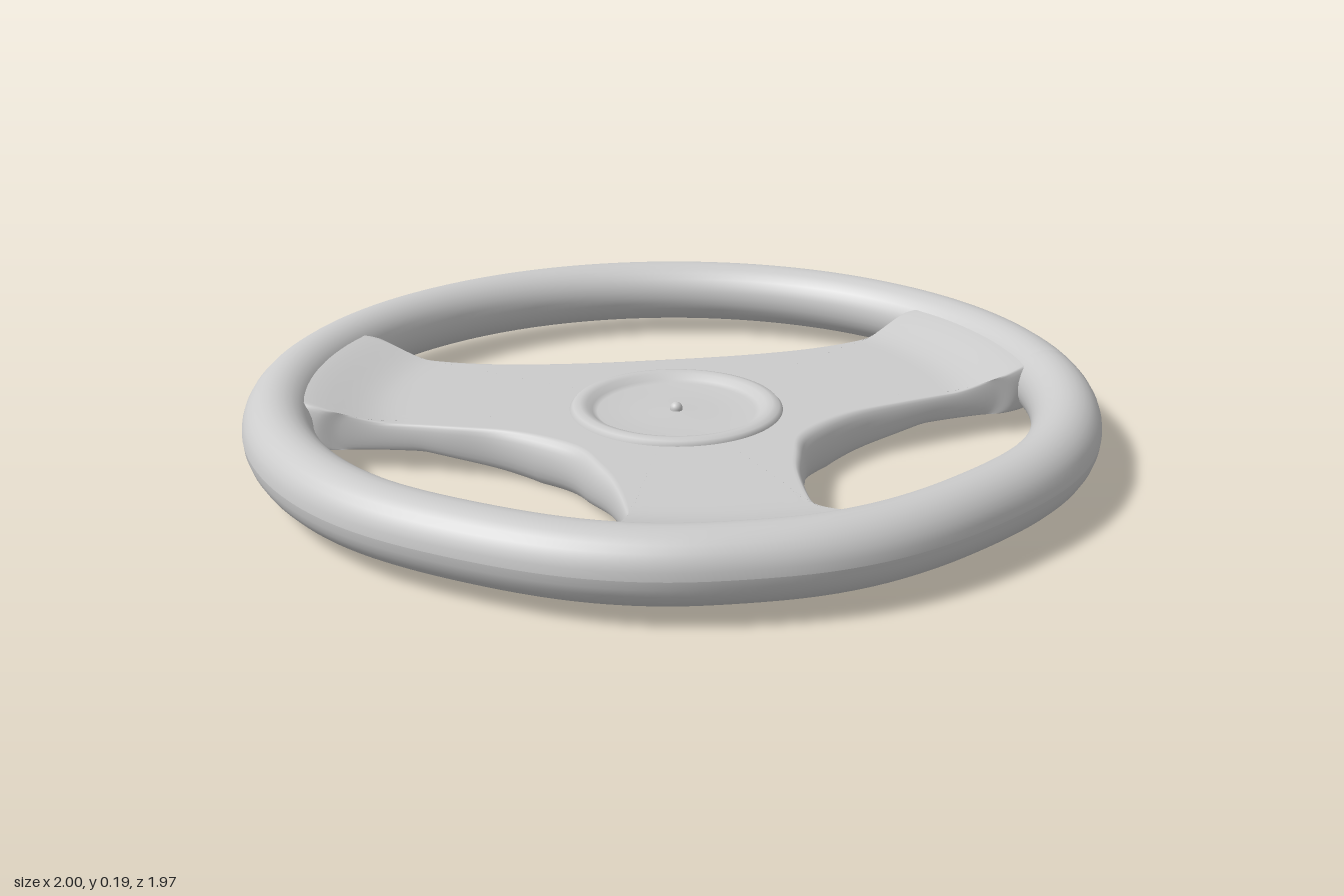
import * as THREE from 'three';

const material = new THREE.MeshStandardMaterial({ color: 0xcccccc, roughness: 0.7 });
const HUB_Z = 0.06;

function part(name, geometry) {
  const mesh = new THREE.Mesh(geometry, material);
  mesh.name = name;
  return mesh;
}

// Round rim, slightly flattened towards the front
function rimGeometry() {
  const geo = new THREE.TorusGeometry(0.92, 0.08, 28, 160).rotateX(Math.PI / 2);
  const p = geo.attributes.position;
  for (let i = 0; i < p.count; i++) {
    const x = p.getX(i), z = p.getZ(i);
    const a = Math.abs(Math.atan2(x, z));
    const r = Math.hypot(x, z);
    const dent = 0.004 * Math.exp(-((a / 0.12) ** 2)) + 0.016 * Math.exp(-(((a - 0.6) / 0.25) ** 2));
    const k = (r - dent) / r;
    p.setXYZ(i, x * k, p.getY(i) + 0.11, z * k * 0.985);
  }
  geo.computeVertexNormals();
  return geo;
}

// Right half of the three-spoke outline, front to back (x, z); ends lie inside the rim
const HALF_OUTLINE = [
  [0, 0.92], [0.12, 0.91], [0.22, 0.88], [0.24, 0.82], [0.216, 0.75], [0.2, 0.67],
  [0.21, 0.5], [0.235, 0.4], [0.27, 0.3], [0.34, 0.22], [0.43, 0.155], [0.55, 0.11],
  [0.68, 0.07], [0.78, 0.05], [0.84, 0.045], [0.91, 0], [0.92, -0.1], [0.88, -0.28],
  [0.78, -0.46], [0.72, -0.47], [0.665, -0.44], [0.6, -0.392], [0.5, -0.35],
  [0.4, -0.327], [0.29, -0.315], [0.15, -0.31], [0, -0.31],
];

const topY = (x, z) => 0.115 + 0.05 * THREE.MathUtils.smoothstep(Math.hypot(x, z), 0.66, 0.9);
const bottomY = (x, z) =>
  Math.min(0.05, 0.19 * Math.max(0, Math.max(Math.abs(x), Math.abs(z)) - 0.32));

// Spokes and hub shell: one radial profile swept round the outline
function spokesGeometry() {
  const mirrored = HALF_OUTLINE.slice(1, -1).reverse().map(([x, z]) => [-x, z]);
  const outline = new THREE.CatmullRomCurve3(
    [...HALF_OUTLINE, ...mirrored].map(([x, z]) => new THREE.Vector3(x, 0, z)), true, 'centripetal');
  const N = 360, INNER = 0.22, EDGE = 0.03, CEILING = 0.09;
  const positions = [], index = [];
  let rows = 0;

  for (let i = 0; i < N; i++) {
    const q = outline.getPoint(i / N);
    const R = Math.hypot(q.x, q.z - HUB_Z);
    const dx = q.x / R, dz = (q.z - HUB_Z) / R;
    const start = positions.length;
    const add = (r, height) => {
      const x = dx * r, z = HUB_Z + dz * r;
      positions.push(x, typeof height === 'number' ? height : height(x, z), z);
    };
    const rim = R - EDGE;

    // top face
    for (let j = 0; j <= 22; j++) add(THREE.MathUtils.lerp(INNER, rim, j / 22), topY);
    // rounded edge
    const ex = dx * rim, ez = HUB_Z + dz * rim;
    const hi = topY(ex, ez), lo = bottomY(ex, ez);
    for (let j = 1; j < 10; j++) {
      const a = (j / 10) * Math.PI;
      add(rim + EDGE * Math.sin(a), (hi + lo) / 2 + ((hi - lo) / 2) * Math.cos(a));
    }
    // underside, in to the lip of the square recess
    const depth = dz > 0 ? 0.28 : 0.36;
    const square = (Math.abs(dx / 0.28) ** 8 + Math.abs(dz / depth) ** 8) ** (-1 / 8);
    const lip = Math.min(square, rim - 0.004);
    for (let j = 0; j <= 16; j++) add(THREE.MathUtils.lerp(rim, lip, j / 16), bottomY);
    // recess wall and ceiling, with the lip doubled to keep it sharp
    add(lip, bottomY);
    const foot = Math.max(INNER + 0.01, lip - 0.04);
    add(THREE.MathUtils.lerp(lip, foot, 0.4), 0.05);
    add(THREE.MathUtils.lerp(lip, foot, 0.75), 0.08);
    add(foot, CEILING);
    add(INNER, CEILING);
    rows = (positions.length - start) / 3;
  }

  for (let i = 0; i < N; i++) {
    for (let j = 0; j < rows - 1; j++) {
      const a = i * rows + j, c = ((i + 1) % N) * rows + j;
      index.push(a, a + 1, c, a + 1, c + 1, c);
    }
  }
  const geo = new THREE.BufferGeometry();
  geo.setAttribute('position', new THREE.Float32BufferAttribute(positions, 3));
  geo.setIndex(index);
  geo.computeVertexNormals();
  return geo;
}

// Shallow round dish with a raised ring, from its underside out and over the top
function dishGeometry() {
  const profile = [
    [0, 0.094], [0.03, 0.095], [0.1, 0.092], [0.18, 0.093], [0.2, 0.086], [0.225, 0.083],
    [0.24, 0.088], [0.25, 0.1], [0.25, 0.116], [0.242, 0.125], [0.226, 0.129], [0.21, 0.125],
    [0.197, 0.114], [0.185, 0.108], [0.1, 0.106], [0.03, 0.109], [0, 0.11],
  ].map(([r, y]) => new THREE.Vector2(r, y));
  return new THREE.LatheGeometry(profile, 96);
}

export function createModel() {
  const wheel = new THREE.Group();
  wheel.name = 'steeringWheel';
  wheel.add(part('rim', rimGeometry()));
  wheel.add(part('spokes', spokesGeometry()));

  const dish = part('hubDish', dishGeometry());
  dish.position.z = HUB_Z;
  wheel.add(dish);

  // Small pin through the middle of the dish
  const pin = part('hubPin', new THREE.CapsuleGeometry(0.015, 0.018, 6, 20));
  pin.position.set(0, 0.104, HUB_Z);
  wheel.add(pin);
  return wheel;
}
